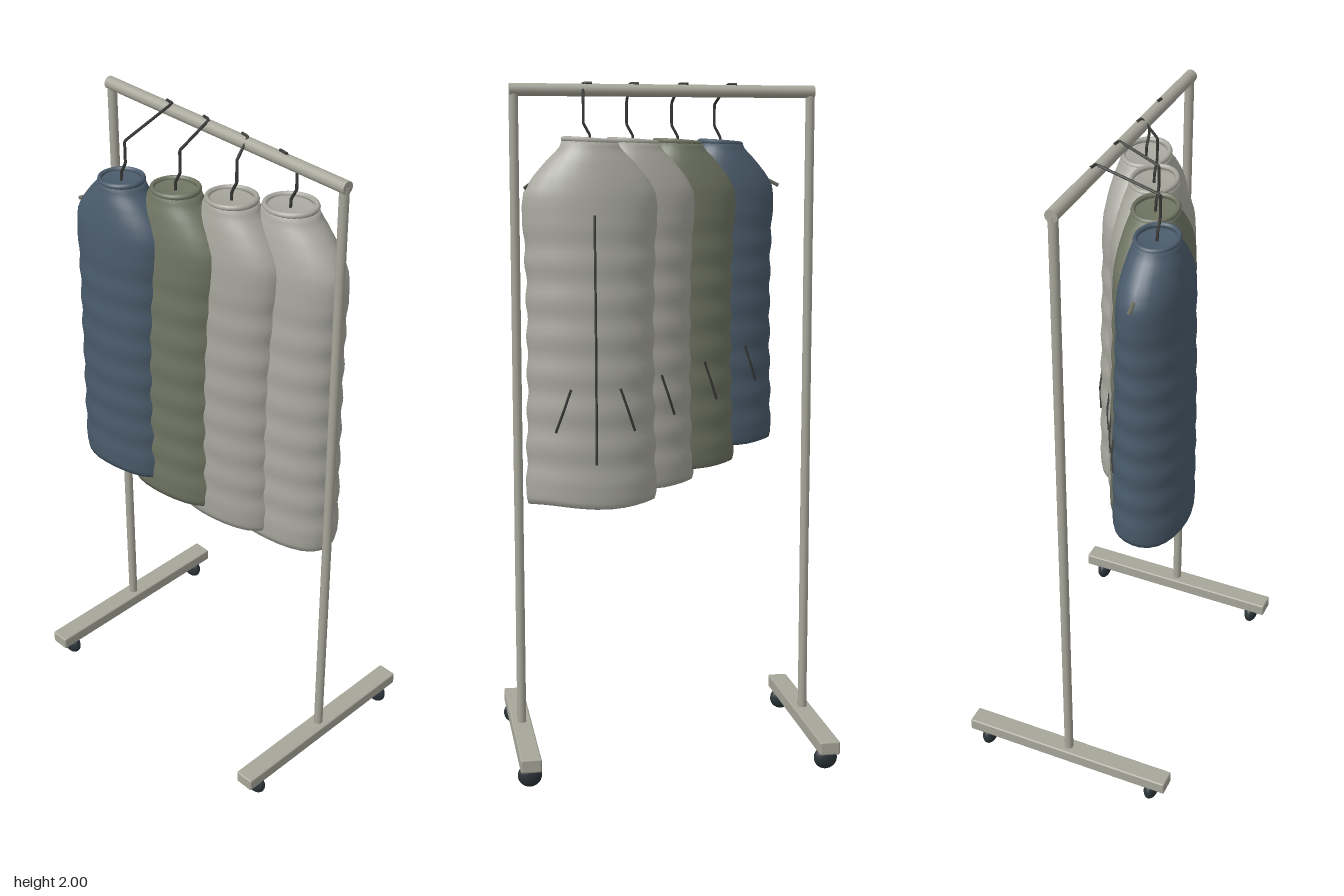
import * as THREE from 'three';
import { mergeVertices } from 'three/addons/utils/BufferGeometryUtils.js';
import { RoundedBoxGeometry } from 'three/addons/geometries/RoundedBoxGeometry.js';

const mat = (name, color, side = THREE.FrontSide) => {
  const m = new THREE.MeshStandardMaterial({ color, side });
  m.name = name;
  return m;
};

// Garment cross-sections: fraction down from the neck, half width, half depth
const SECTIONS = [
  [0, 0.41, 0.57], [0.02, 0.45, 0.6], [0.05, 0.62, 0.69], [0.1, 0.85, 0.78], [0.14, 0.97, 0.83],
  [0.18, 1, 0.86], [0.25, 0.975, 0.88], [0.35, 0.95, 0.91], [0.5, 0.94, 0.96], [0.7, 0.945, 0.99],
  [0.9, 0.97, 1], [0.98, 0.98, 1], [1, 0.95, 0.97],
];

function section(t) {
  let i = 0;
  while (i < SECTIONS.length - 2 && t > SECTIONS[i + 1][0]) i++;
  const a = SECTIONS[i], b = SECTIONS[i + 1];
  const k = (t - a[0]) / (b[0] - a[0]);
  // quilted ripple that fades out at the shoulders and hem
  const fade = THREE.MathUtils.smoothstep(t, 0.15, 0.3) * (1 - THREE.MathUtils.smoothstep(t, 0.9, 1));
  const ripple = 1 + 0.016 * fade * Math.sin(t * 62);
  return [THREE.MathUtils.lerp(a[1], b[1], k) * ripple, THREE.MathUtils.lerp(a[2], b[2], k) * ripple];
}

const TOP = 1.83;

function bodyGeometry(g) {
  const rows = [[0.965, 0.7, 0.7], [0.99, 0.75, 0.75], [1, 0.86, 0.88]]; // turned-in hem
  for (let i = 64; i >= 0; i--) rows.push([i / 64, ...section(i / 64)]);
  rows.push([0.006, 0.33, 0.46], [0.008, 0.0001, 0.0001]); // closed neck
  const geo = new THREE.LatheGeometry(rows.map(r => new THREE.Vector2(1, 1 - r[0])), 28);
  const p = geo.attributes.position;
  for (let i = 0; i < p.count; i++) {
    const [t, w, d] = rows[i % rows.length];
    const sag = 0.006 * Math.sin(3 * Math.atan2(p.getX(i), p.getZ(i)) + 1) * t * t;
    p.setXYZ(i, p.getX(i) * w * g.w, TOP - t * g.len + sag, p.getZ(i) * d * g.d);
  }
  geo.deleteAttribute('uv');
  geo.deleteAttribute('normal');
  const merged = mergeVertices(geo, 1e-5);
  merged.computeVertexNormals();
  return merged;
}

const tube = (pts, r, smooth = false) => {
  const v = pts.map(p => new THREE.Vector3(...p));
  if (smooth) return new THREE.TubeGeometry(new THREE.CatmullRomCurve3(v), 32, r, 6);
  const path = new THREE.CurvePath();
  for (let i = 1; i < v.length; i++) path.add(new THREE.LineCurve3(v[i - 1], v[i]));
  return new THREE.TubeGeometry(path, 40, r, 6);
};

export function createModel() {
  const model = new THREE.Group();
  model.name = 'clothesRack';
  const metal = mat('rackMetal', 0xa7a69a);
  const rubber = mat('casterRubber', 0x2b3438);
  const wire = mat('darkWire', 0x3a3b38);
  const wood = mat('hangerOlive', 0x6f7062);
  const blue = mat('slateBlue', 0x4a5b6b, THREE.DoubleSide);
  const olive = mat('oliveCloth', 0x6f7462, THREE.DoubleSide);
  const stone = mat('stoneCloth', 0xa5a49b, THREE.DoubleSide);
  const pale = mat('paleCloth', 0xa9a8a0, THREE.DoubleSide);

  const add = (parent, name, geo, material, x = 0, y = 0, z = 0) => {
    const m = new THREE.Mesh(geo, material);
    m.name = name;
    m.position.set(x, y, z);
    parent.add(m);
    return m;
  };

  // Rack frame
  add(model, 'topRail', new THREE.CylinderGeometry(0.018, 0.018, 0.895, 20), metal, 0, 1.975, 0).rotation.z = Math.PI / 2;
  for (const s of [-1, 1]) {
    add(model, 'post', new THREE.CylinderGeometry(0.0135, 0.0135, 1.89, 16), metal, s * 0.436, 1.03, 0);
    add(model, 'foot', new RoundedBoxGeometry(0.06, 0.04, 0.666, 2, 0.005), metal, s * 0.436, 0.08, 0);
    for (const e of [-1, 1]) {
      const caster = add(model, 'caster', new THREE.SphereGeometry(1, 20, 14), rubber, s * 0.436, 0.036, e * 0.28);
      caster.scale.set(0.035, 0.034, 0.021);
    }
  }

  // Garments, stepping in size along the rail
  const garments = [
    { x: -0.203, z: 0.178, w: 0.167, d: 0.107, len: 0.908, cloth: blue },
    { x: -0.06, z: 0.112, w: 0.18, d: 0.112, len: 0.965, cloth: olive },
    { x: 0.085, z: 0.045, w: 0.188, d: 0.117, len: 1.008, cloth: stone },
    { x: 0.222, z: -0.038, w: 0.198, d: 0.12, len: 1.048, cloth: pale },
  ];
  for (const g of garments) {
    const group = new THREE.Group();
    group.name = 'hangingGarment';
    group.position.set(g.x, 0, g.z);
    model.add(group);
    add(group, 'garmentBody', bodyGeometry(g), g.cloth);

    // Tilted collar ring
    const collarGeo = new THREE.TorusGeometry(1, 0.11, 8, 32).rotateX(Math.PI / 2);
    collarGeo.scale(g.w * 0.38, 0.075, g.d * 0.53);
    add(group, 'collar', collarGeo, g.cloth, 0, TOP, 0).rotation.z = 0.07;

    // Hook wire reaching up and over the rail
    add(group, 'hangerHook', tube([
      [-0.002, 1.82, 0], [0, 1.848, 0], [0.018, 1.88, 0], [0.018, 1.945, 0], [0.014, 1.995, -g.z],
      [-0.012, 1.995, -g.z - 0.004],
    ], 0.0042), wire);

    // Back seam and slanted pocket slits lying on the cloth
    const onBack = (x, y) => {
      const [w, d] = section((TOP - y) / g.len);
      return [x, y, -g.d * d * Math.sqrt(Math.max(0, 1 - (x / (g.w * w)) ** 2)) - 0.001];
    };
    const seam = [];
    for (let i = 0; i <= 16; i++) seam.push(onBack(0, TOP - g.len * (0.2 + 0.68 * i / 16)));
    add(group, 'backSeam', tube(seam, 0.0035, true), wire);
    for (const s of [-1, 1]) {
      const slit = [];
      for (let i = 0; i <= 4; i++) slit.push(onBack(s * g.w * (0.36 + 0.055 * i), TOP - g.len * (0.67 + 0.03 * i)));
      add(group, 'pocketSlit', tube(slit, 0.004, true), wire);
    }
  }

  // Hanger ends showing at the outer shoulders
  add(model, 'hangerEndRight', tube([[-0.25, 1.765, 0.178], [-0.32, 1.735, 0.178], [-0.385, 1.703, 0.178]], 0.006), wood);
  add(model, 'hangerEndLeft', tube([[0.3, 1.755, -0.038], [0.365, 1.728, -0.038], [0.412, 1.695, -0.038]], 0.006), wire);
  return model;
}
